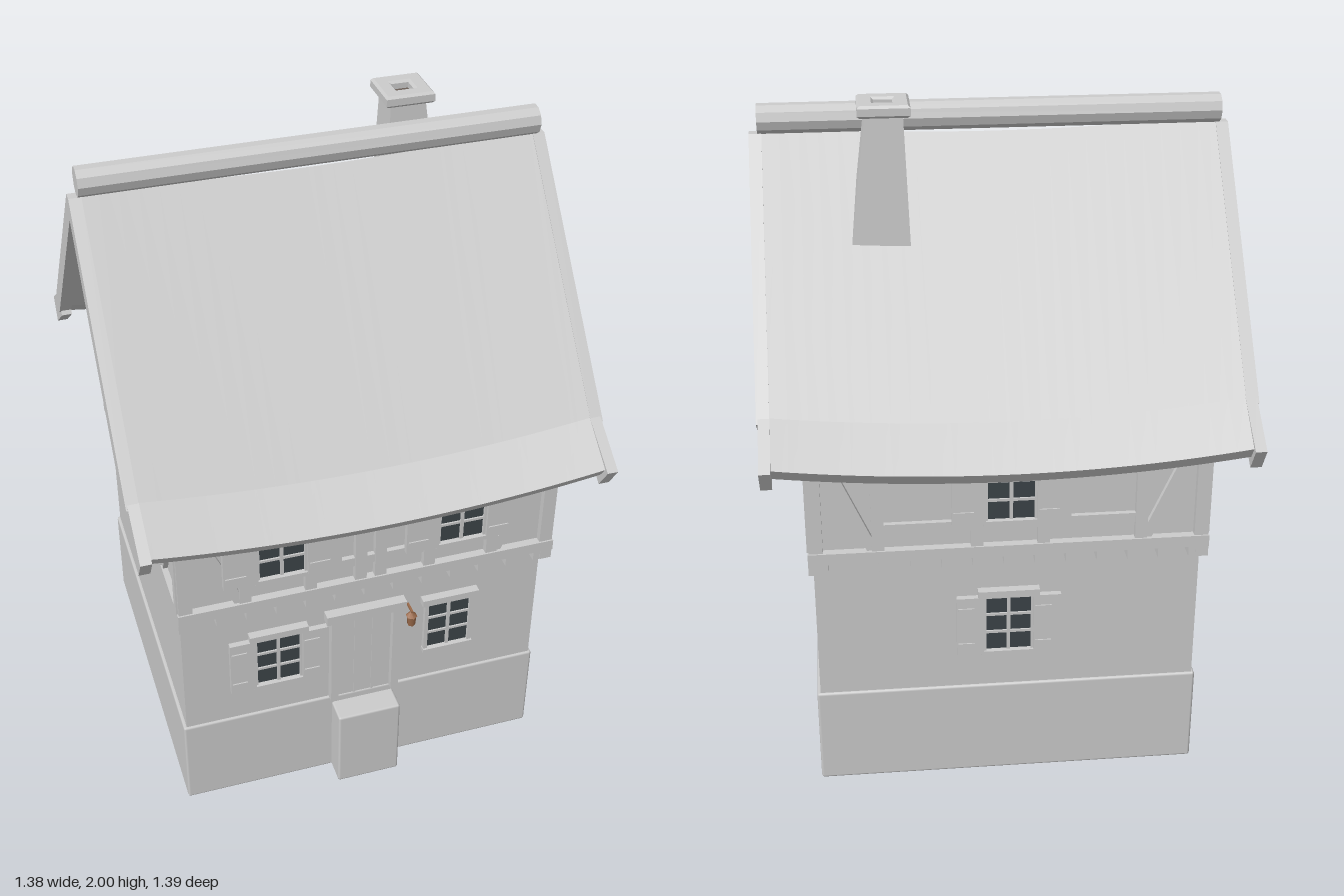
import * as THREE from 'three';
import { toCreasedNormals } from 'three/addons/utils/BufferGeometryUtils.js';
import { RoundedBoxGeometry } from 'three/addons/geometries/RoundedBoxGeometry.js';

const grey = new THREE.MeshStandardMaterial({ color: 0xcccccc });
const glass = new THREE.MeshStandardMaterial({ color: 0x3c4448 });
const copper = new THREE.MeshStandardMaterial({ color: 0x9a6a4a });
const soot = new THREE.MeshStandardMaterial({ color: 0x6b5f58 });

function add(parent, name, geometry, x = 0, y = 0, z = 0, material = grey) {
  const mesh = new THREE.Mesh(geometry, material);
  mesh.name = name;
  mesh.position.set(x, y, z);
  parent.add(mesh);
  return mesh;
}

// Box given by its limits on each axis
function block(parent, name, [x0, x1], [y0, y1], [z0, z1], material = grey, bevel = 0) {
  const s = [x1 - x0, y1 - y0, z1 - z0];
  const g = bevel ? new RoundedBoxGeometry(...s, 1, bevel) : new THREE.BoxGeometry(...s);
  return add(parent, name, g, (x0 + x1) / 2, (y0 + y1) / 2, (z0 + z1) / 2, material);
}

// Timber between two points on a wall face, half sunk into the wall
function timber(face, name, x0, y0, x1, y1, width = 0.035, depth = 0.04) {
  const g = new THREE.BoxGeometry(width, Math.hypot(x1 - x0, y1 - y0), depth);
  const m = add(face, name, g, (x0 + x1) / 2, (y0 + y1) / 2, 0);
  m.rotation.z = -Math.atan2(x1 - x0, y1 - y0);
  return m;
}

// Group whose local z = 0 lies on a wall, facing outwards
function wallFace(parent, name, angle, distance) {
  const g = new THREE.Group();
  g.name = name;
  g.rotation.y = angle;
  g.position.set(Math.sin(angle) * distance, 0, Math.cos(angle) * distance);
  parent.add(g);
  return g;
}

// Window with cross bars, lintel, sill and optional shutters
function addWindow(face, x, y, shutterWidth, z = 0, lintel = true) {
  const w = new THREE.Group();
  w.name = 'window';
  w.position.set(x, y, z);
  face.add(w);
  block(w, 'windowGlass', [-0.07, 0.07], [0, 0.19], [-0.02, 0.006], glass);
  block(w, 'windowBarVertical', [-0.005, 0.005], [0, 0.19], [0, 0.012]);
  for (const h of [0.065, 0.125]) block(w, 'windowBarHorizontal', [-0.07, 0.07], [h - 0.004, h + 0.004], [0, 0.011]);
  for (const s of [-1, 1]) {
    block(w, 'windowJamb', [s * 0.072 - 0.006, s * 0.072 + 0.006], [0, 0.19], [-0.01, 0.015]);
    if (shutterWidth) {
      const c = s * (0.073 + shutterWidth / 2), h = shutterWidth / 2;
      block(w, 'shutter', [c - h, c + h], [-0.002, 0.192], [0.006, 0.024]);
      for (const k of [0.035, 0.155]) block(w, 'shutterHinge', [c - h * 0.9, c + h * 0.3], [k - 0.004, k + 0.004], [0.02, 0.028]);
    }
  }
  block(w, 'windowSill', [-0.08, 0.08], [-0.01, 0.004], [-0.01, 0.022]);
  if (lintel) block(w, 'windowLintel', [-0.09, 0.09], [0.19, 0.213], [-0.01, 0.026]);
}

// Sagging roof shell: one cross-section swept along x
function roofGeometry() {
  const half = [[0.68, 1.148], [0.555, 1.243], [0, 1.89]];
  const under = [[0.655, 1.112], [0.535, 1.203], [0, 1.835]];
  const flip = ([z, y]) => [-z, y];
  const ring = [...half.map(flip), half[1], half[0], under[0], under[1], ...[under[2], flip(under[1]), flip(under[0])]];
  const n = ring.length, steps = 24, pos = [], idx = [];
  for (let i = 0; i <= steps; i++) {
    const t = (i / steps) * 2 - 1;
    for (const [z, y] of ring) pos.push(t * 0.66, y - (0.028 + 0.024 * Math.abs(z)) * (1 - t * t), z);
  }
  for (let i = 0; i < steps; i++) for (let j = 0; j < n; j++) {
    const a = i * n + j, b = i * n + (j + 1) % n;
    idx.push(a, b, a + n, b, b + n, a + n);
  }
  for (let k = 0; k < 4; k++) {
    const a = k, b = k + 1, c = 8 - k, d = 9 - k, e = steps * n;
    idx.push(a, c, b, a, d, c, e + a, e + b, e + c, e + a, e + c, e + d);
  }
  const g = new THREE.BufferGeometry();
  g.setAttribute('position', new THREE.Float32BufferAttribute(pos, 3));
  g.setIndex(idx);
  return toCreasedNormals(g, 0.17);
}

// Plate cut from a (z, y) outline, filling x0 .. x0 + depth
function sidePlate(parent, name, outline, x0, depth) {
  const shape = new THREE.Shape(outline.map(([z, y]) => new THREE.Vector2(z, y)));
  const g = new THREE.ExtrudeGeometry(shape, { depth, bevelEnabled: false });
  g.rotateY(-Math.PI / 2);
  return add(parent, name, g, x0 + depth, 0, 0);
}

export function createModel() {
  const house = new THREE.Group();
  house.name = 'house';

  // Stone base, doorstep and walls
  block(house, 'plinth', [-0.57, 0.57], [0, 0.31], [-0.525, 0.525], grey, 0.008);
  block(house, 'doorstep', [-0.1, 0.1], [0, 0.285], [0.45, 0.6], grey, 0.008);
  block(house, 'groundFloorWall', [-0.56, 0.56], [0.3, 0.77], [-0.518, 0.518]);
  block(house, 'upperFloorWall', [-0.55, 0.55], [0.8, 1.16], [-0.55, 0.55]);
  const gable = [[-0.55, 0.8], [0.55, 0.8], [0.55, 1.19], [0, 1.835], [-0.55, 1.19]];
  for (const x of [-0.555, 0.535]) sidePlate(house, 'gableWall', gable, x, 0.02);

  // Jetty: sill beams, side beams and joist ends
  block(house, 'jettySill', [-0.573, 0.573], [0.785, 0.82], [-0.575, 0.575]);
  block(house, 'jettyFloor', [-0.55, 0.55], [0.77, 0.79], [-0.55, 0.55]);
  for (const s of [-1, 1]) {
    block(house, 'jettySideBeam', [s * 0.555 - 0.018, s * 0.555 + 0.018], [0.75, 0.785], [-0.57, 0.57]);
    for (let i = 0; i < 13; i++) {
      const x = -0.534 + i * 0.089;
      block(house, 'joistEnd', [x - 0.018, x + 0.018], [0.75, 0.786], [s * 0.535 - 0.033, s * 0.535 + 0.033]);
    }
  }

  // Timber framing on the long walls
  const front = wallFace(house, 'frontFraming', 0, 0.55);
  const back = wallFace(house, 'backFraming', Math.PI, 0.55);
  for (const [face, posts] of [[front, [0.375, 0.18, 0.03]], [back, [0.375, 0.095]]]) {
    for (const s of [-1, 1]) {
      timber(face, 'cornerPost', s * 0.55, 0.82, s * 0.55, 1.16, 0.04);
      for (const p of posts) timber(face, 'post', s * p, 0.82, s * p, 1.15);
      timber(face, 'brace', s * 0.525, 1.13, s * 0.39, 0.82, 0.03, 0.03);
    }
    timber(face, 'lowerRail', -0.37, 0.885, 0.37, 0.885, 0.03, 0.03);
    timber(face, 'wallPlate', -0.56, 1.135, 0.56, 1.135, 0.035, 0.035);
  }
  for (const s of [-1, 1]) addWindow(front, s * 0.27, 0.907, 0.1, 0.022, false);
  addWindow(back, 0, 0.907, 0.095, 0.022, false);

  // Timber framing on both gables
  for (const s of [-1, 1]) {
    const side = wallFace(house, 'gableFraming', s * Math.PI / 2, 0.555);
    for (const m of [-1, 1]) {
      timber(side, 'cornerPost', m * 0.545, 0.82, m * 0.545, 1.19, 0.03);
      timber(side, 'post', m * 0.325, 0.82, m * 0.325, 1.19);
      timber(side, 'innerPost', m * 0.12, 0.82, m * 0.12, 1.19, 0.04);
      timber(side, 'brace', m * 0.525, 1.18, m * 0.35, 0.83, 0.03, 0.03);
      timber(side, 'gablePost', m * 0.175, 1.2, m * 0.175, 1.6);
      timber(side, 'gableRafter', m * 0.54, 1.18, m * 0.005, 1.8, 0.04, 0.045);
    }
    timber(side, 'kingPost', 0, 1.2, 0, 1.8);
    timber(side, 'tieBeam', -0.55, 1.2, 0.55, 1.2, 0.035, 0.045);
    timber(side, 'collarBeam', -0.25, 1.517, 0.25, 1.517, 0.033, 0.035);
    for (const y of [0.885, 1.12]) timber(side, 'rail', -0.325, y, 0.325, y, 0.033, 0.032);
  }

  // Ground floor windows
  const frontWall = wallFace(house, 'frontGroundFloor', 0, 0.518);
  const backWall = wallFace(house, 'backGroundFloor', Math.PI, 0.518);
  addWindow(frontWall, -0.27, 0.435, 0.078);
  addWindow(frontWall, 0.27, 0.435, 0);
  addWindow(backWall, 0, 0.435, 0.08);

  // Door, frame and lantern
  block(frontWall, 'door', [-0.085, 0.085], [0.31, 0.64], [-0.02, 0.006]);
  for (const x of [-0.028, 0.028]) block(frontWall, 'doorBatten', [x - 0.003, x + 0.003], [0.31, 0.64], [0, 0.009]);
  for (const s of [-1, 1]) block(frontWall, 'doorPost', [s * 0.097 - 0.012, s * 0.097 + 0.012], [0.31, 0.64], [-0.01, 0.027]);
  block(frontWall, 'doorLintel', [-0.125, 0.125], [0.638, 0.67], [-0.01, 0.032]);
  add(frontWall, 'lantern', new THREE.CylinderGeometry(0.015, 0.012, 0.035, 6), 0.14, 0.595, 0.035, copper);
  add(frontWall, 'lanternCap', new THREE.ConeGeometry(0.018, 0.015, 6), 0.14, 0.62, 0.035, copper);
  block(frontWall, 'lanternBracket', [0.137, 0.143], [0.626, 0.633], [0, 0.04], copper);

  // Roof, ridge and two-piece bargeboards
  add(house, 'roof', roofGeometry());
  const ridge = add(house, 'ridgeBeam', new THREE.CylinderGeometry(0.043, 0.043, 1.33, 10), 0, 1.915, 0);
  ridge.material = new THREE.MeshStandardMaterial({ color: 0xcccccc, flatShading: true });
  ridge.rotation.z = Math.PI / 2;
  const upperBoard = [[0.015, 1.875], [0.567, 1.23], [0.522, 1.192], [0.0, 1.803], [0, 1.875]];
  const lowerBoard = [[0.545, 1.25], [0.697, 1.146], [0.654, 1.077], [0.51, 1.185]];
  for (const m of [-1, 1]) for (const s of [-1, 1]) {
    const turn = (o) => o.map(([z, y]) => [z * m, y]);
    sidePlate(house, 'upperBargeboard', turn(upperBoard), s * 0.672 - 0.018, 0.036);
    sidePlate(house, 'lowerBargeboard', turn(lowerBoard), s * 0.669 - 0.016, 0.032);
  }

  // Chimney: shaft flaring towards the roof, hollow cap
  const shaft = new THREE.BoxGeometry(1, 1, 1);
  const p = shaft.attributes.position;
  for (let i = 0; i < p.count; i++) {
    const top = p.getY(i) > 0;
    const w = top ? 0.105 : 0.165, d = top ? 0.1 : 0.145, cx = top ? 0.3125 : 0.33;
    p.setXYZ(i, cx + p.getX(i) * w, top ? 1.97 : 1.6, -0.152 + p.getZ(i) * d);
  }
  shaft.computeVertexNormals();
  add(house, 'chimneyShaft', shaft);
  const rect = (C, r) => new C([[-r, -r], [r, -r], [r, r], [-r, r]].map(([x, y]) => new THREE.Vector2(x, y)));
  const cap = rect(THREE.Shape, 0.066);
  cap.holes.push(rect(THREE.Path, 0.033));
  const capGeo = new THREE.ExtrudeGeometry(cap, { depth: 0.021, bevelThickness: 0.007, bevelSize: 0.007, bevelOffset: 0, bevelSegments: 1 });
  capGeo.rotateX(-Math.PI / 2);
  add(house, 'chimneyCap', capGeo, 0.3125, 1.972, -0.152);
  block(house, 'chimneyFlue', [0.28, 0.345], [1.968, 1.976], [-0.185, -0.12], soot);
  return house;
}
